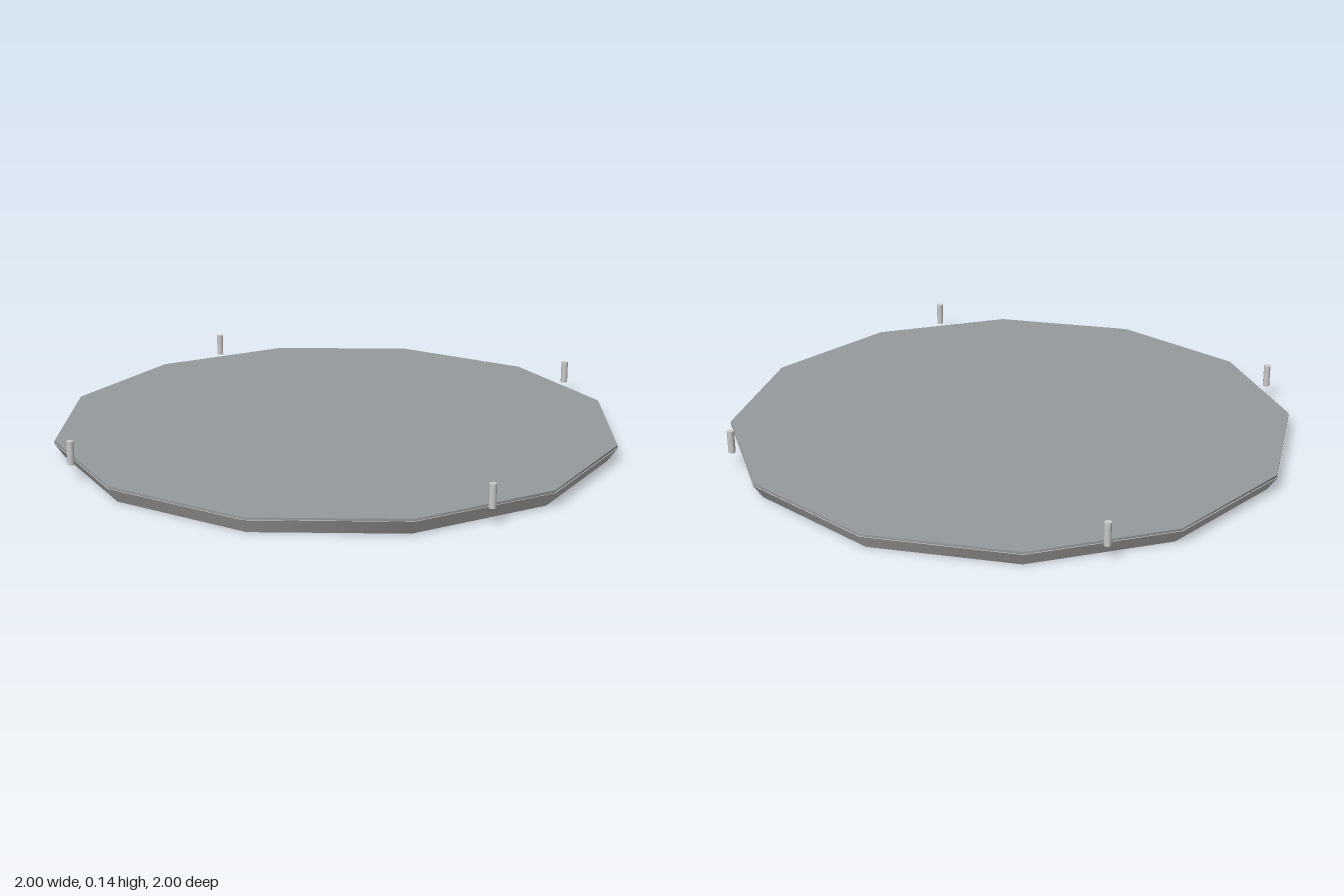
import * as THREE from 'three';

export function createModel() {
  const model = new THREE.Group();
  const grey = new THREE.MeshStandardMaterial({ color: 0xcccccc });
  const deckGrey = new THREE.MeshStandardMaterial({ color: 0x969b9e });

  function addCylinder(name, rTop, rBottom, y0, y1, sides, material, x = 0, z = 0) {
    const mesh = new THREE.Mesh(new THREE.CylinderGeometry(rTop, rBottom, y1 - y0, sides), material);
    mesh.name = name;
    mesh.position.set(x, (y0 + y1) / 2, z);
    model.add(mesh);
  }

  // Twelve-sided platform, tapering towards the ground
  addCylinder('platformBase', 1, 0.965, 0, 0.052, 12, grey);

  // Thin deck on top
  addCylinder('deck', 0.997, 0.997, 0.052, 0.06, 12, deckGrey);

  // Four small posts just outside the diagonal edges
  for (const x of [-1, 1]) {
    for (const z of [-1, 1]) {
      const name = (z > 0 ? 'front' : 'back') + (x > 0 ? 'Left' : 'Right') + 'Post';
      addCylinder(name, 0.0125, 0.0125, 0.06, 0.14, 8, grey, x * 0.704, z * 0.704);
    }
  }
  return model;
}
